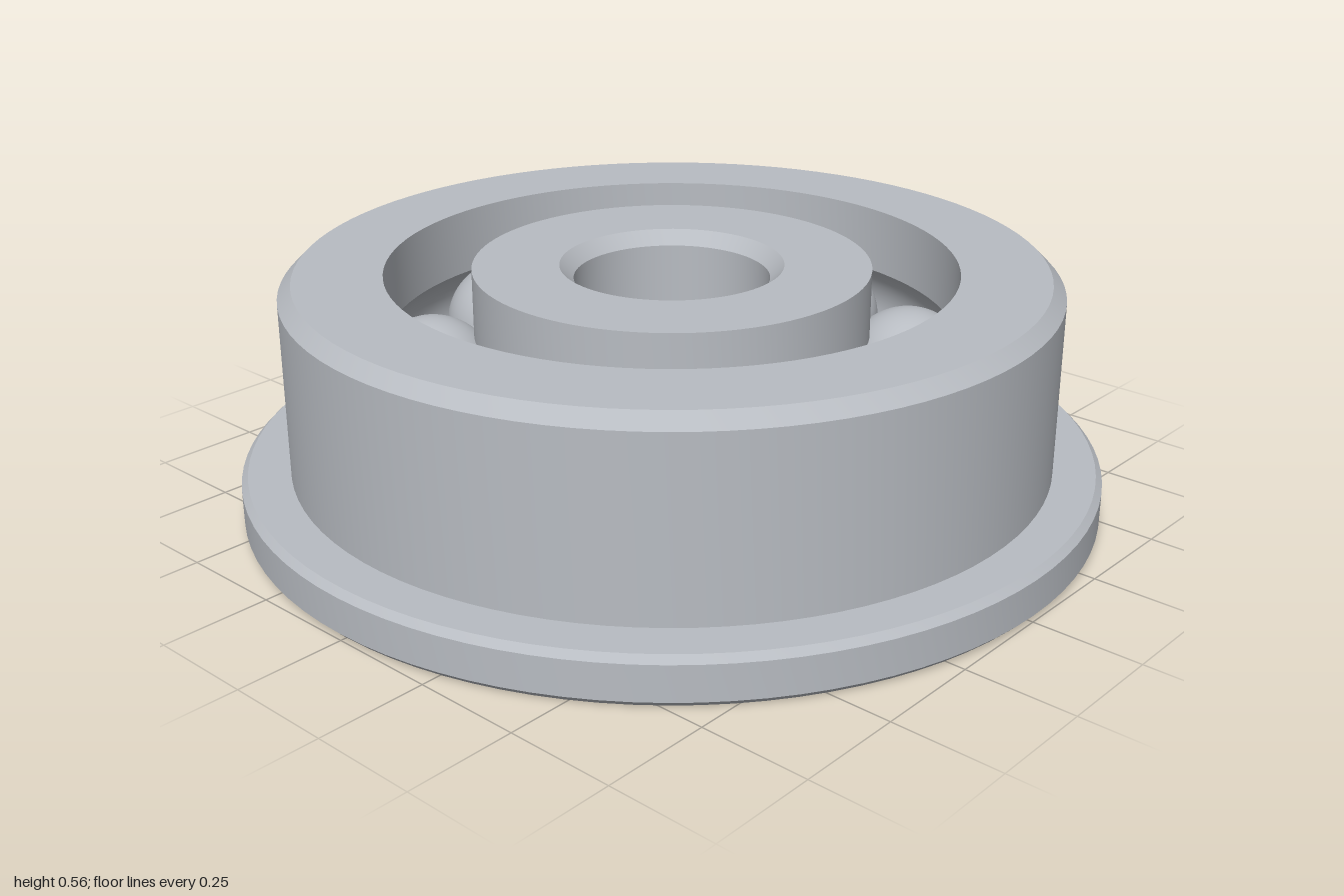
import * as THREE from 'three';
import { toCreasedNormals } from 'three/addons/utils/BufferGeometryUtils.js';

const H = 0.555, MID = H / 2;              // bearing height and mid plane
const PITCH = 0.555, BALL = 0.153;         // ball circle and ball radius
const GAP = 0.099, GROOVE = 0.155;         // half gap between rings, raceway radius

// Raceway arc between two angles, measured round the ball centre
function raceway(from, to, steps = 16) {
  return Array.from({ length: steps + 1 }, (_, i) => {
    const t = from + (to - from) * i / steps;
    return [PITCH + GROOVE * Math.cos(t), MID + GROOVE * Math.sin(t)];
  });
}

// Closed profile spun round y, with crisp edges
function ring(name, profile, material) {
  const points = [...profile, profile[0]].map(([r, y]) => new THREE.Vector2(r, y));
  const geometry = toCreasedNormals(new THREE.LatheGeometry(points, 96), Math.PI / 6);
  const mesh = new THREE.Mesh(geometry, material);
  mesh.name = name;
  return mesh;
}

export function createModel() {
  const steel = new THREE.MeshStandardMaterial({ color: 0xb8bcc2 });
  steel.name = 'steel';
  const group = new THREE.Group();
  group.name = 'flangedBallBearing';
  const a = Math.acos(GAP / GROOVE);

  // Outer ring with its bottom flange, chamfers and inner raceway
  group.add(ring('outerRing', [
    [PITCH + GAP, 0], [0.985, 0], [1, 0.015], [1, 0.097], [0.985, 0.112],
    [0.888, 0.112], [0.888, H - 0.031], [0.857, H], [PITCH + GAP, H],
    ...raceway(a, -a),
  ], steel));

  // Inner ring with outer raceway and chamfered bore
  group.add(ring('innerRing', [
    [0.257, 0], [PITCH - GAP, 0],
    ...raceway(Math.PI + a, Math.PI - a),
    [PITCH - GAP, H], [0.257, H], [0.225, H - 0.032], [0.225, 0.032],
  ], steel));

  // Eight balls, evenly spaced
  const ballGeometry = new THREE.SphereGeometry(BALL, 40, 28);
  for (let i = 0; i < 8; i++) {
    const t = i * Math.PI / 4;
    const ball = new THREE.Mesh(ballGeometry, steel);
    ball.name = `ball${i + 1}`;
    ball.position.set(PITCH * Math.cos(t), MID, PITCH * Math.sin(t));
    group.add(ball);
  }
  return group;
}
